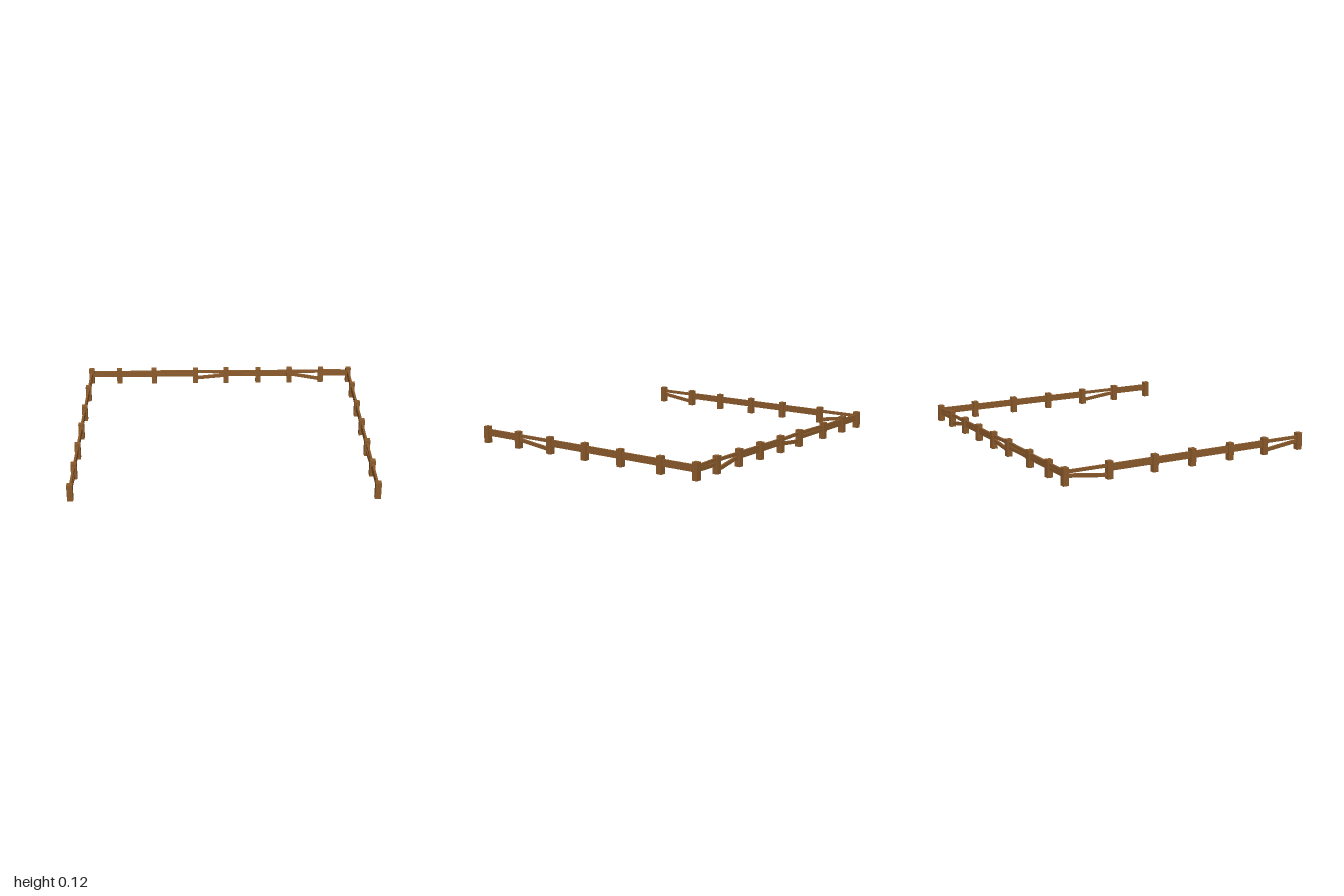
import * as THREE from 'three';

const wood = new THREE.MeshStandardMaterial({ color: 0x8b5a2b, flatShading: true });
const POST_W = 0.038, POST_H = 0.115;
const UPPER_Y = 0.085, LOWER_Y = 0.062;

function createPost(along) {
  const post = new THREE.Mesh(new THREE.BoxGeometry(POST_W, POST_H, POST_W), wood);
  post.name = 'post';
  post.position.set(along, POST_H / 2, 0);
  return post;
}

// A plank running along x from (a, ya) to (b, yb)
function createRail(name, a, ya, b, yb, height) {
  const length = Math.hypot(b - a, yb - ya);
  const rail = new THREE.Mesh(new THREE.BoxGeometry(length, height, 0.014), wood);
  rail.name = name;
  rail.position.set((a + b) / 2, (ya + yb) / 2, 0);
  rail.rotation.z = Math.atan2(yb - ya, b - a);
  return rail;
}

// stops: post positions; lower / upper: special rail end heights by section index
function createFence(name, stops, lower, upper = {}, skipFirstPost = false) {
  const fence = new THREE.Group();
  fence.name = name;
  stops.forEach((s, i) => {
    if (i > 0 || !skipFirstPost) fence.add(createPost(s));
    if (i === stops.length - 1) return;
    const next = stops[i + 1];
    const [ua, ub] = upper[i] ?? [UPPER_Y, UPPER_Y];
    const [la, lb] = lower[i] ?? [LOWER_Y, LOWER_Y];
    fence.add(createRail('upperRail', s, ua, next, ub, 0.021));
    fence.add(createRail('lowerRail', s, la, next, lb, 0.024));
  });
  return fence;
}

export function createModel() {
  const model = new THREE.Group();
  model.name = 'fence';

  // Back run, with two fallen lower rails
  const back = createFence('backFence',
    [-0.981, -0.77, -0.505, -0.19, 0.045, 0.29, 0.53, 0.77, 0.981],
    { 3: [0.036, 0.058], 6: [0.066, 0.022] },
    { 2: [0.087, 0.09], 3: [0.09, 0.084], 7: [0.09, 0.084] });
  back.position.z = -0.88;

  // Side runs: local x turned to point along +z
  const right = createFence('rightFence',
    [-0.88, -0.575, -0.25, 0.03, 0.32, 0.595, 0.875],
    { 0: [0.062, 0.024], 5: [0.026, 0.06] }, {}, true);
  right.position.x = -0.981;
  right.rotation.y = -Math.PI / 2;

  const left = createFence('leftFence',
    [-0.88, -0.61, -0.295, 0, 0.3, 0.585, 0.875],
    { 4: [0.028, 0.06] }, {}, true);
  left.position.x = 0.981;
  left.rotation.y = -Math.PI / 2;

  model.add(back, right, left);
  return model;
}
